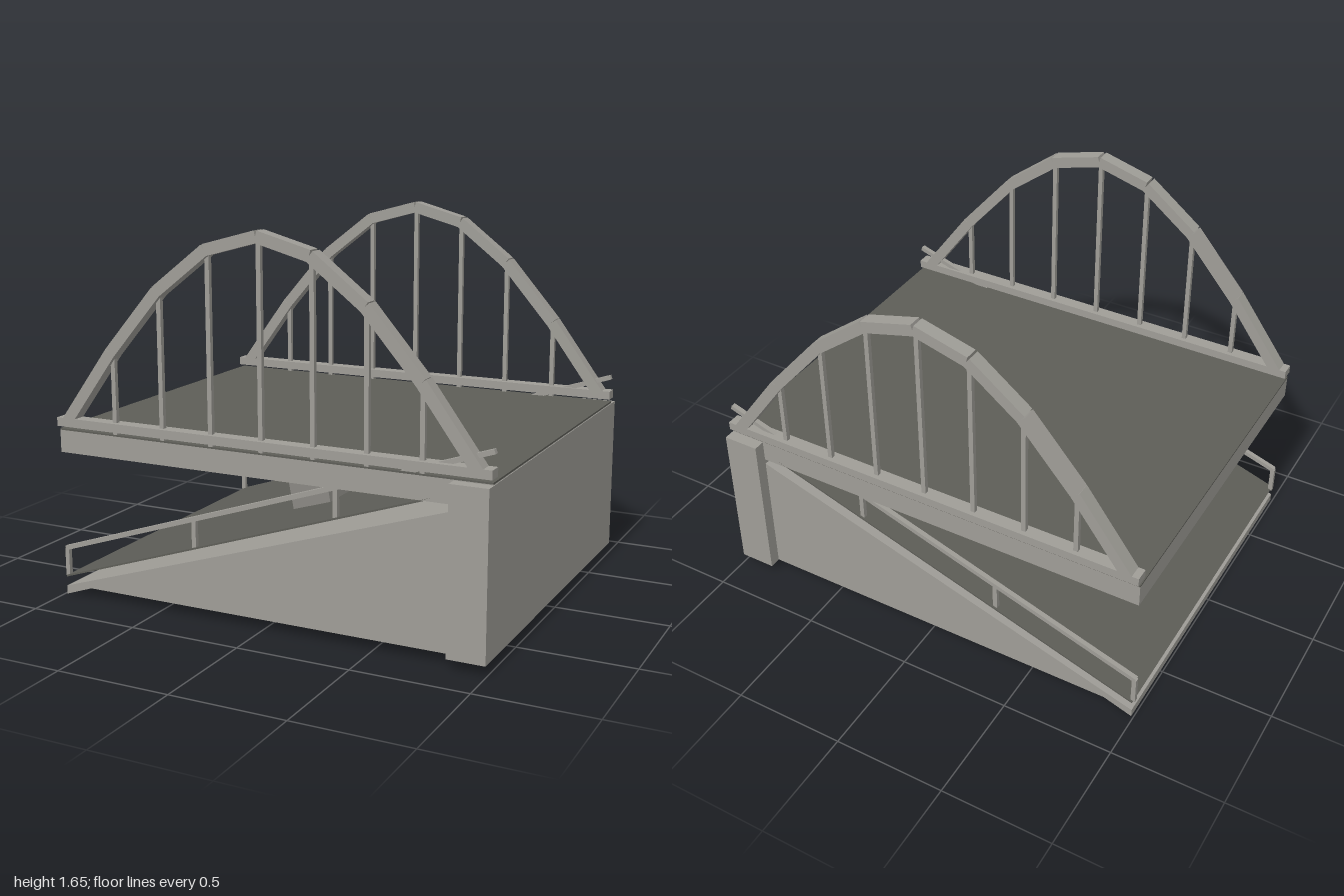
import * as THREE from 'three';

export function createModel() {
  const model = new THREE.Group();
  model.name = 'archBridge';
  const concrete = new THREE.MeshStandardMaterial({ color: 0x9f9d97 });
  concrete.name = 'concrete grey';
  const asphalt = new THREE.MeshStandardMaterial({ color: 0x5d5d57 });
  asphalt.name = 'asphalt dark grey';

  function add(name, geometry, material, parent = model) {
    const mesh = new THREE.Mesh(geometry, material);
    mesh.name = name;
    parent.add(mesh);
    return mesh;
  }
  // Box given by its limits on each axis
  function block(name, x0, x1, y0, y1, z0, z1, material, parent) {
    const mesh = add(name, new THREE.BoxGeometry(x1 - x0, y1 - y0, z1 - z0), material, parent);
    mesh.position.set((x0 + x1) / 2, (y0 + y1) / 2, (z0 + z1) / 2);
    return mesh;
  }
  // Box running between two points in a plane of constant z
  function beam(name, a, b, thickness, depth, z, material, parent) {
    const dx = b[0] - a[0], dy = b[1] - a[1];
    const mesh = add(name, new THREE.BoxGeometry(Math.hypot(dx, dy), thickness, depth), material, parent);
    mesh.position.set((a[0] + b[0]) / 2, (a[1] + b[1]) / 2, z);
    mesh.rotation.z = Math.atan2(dy, dx);
    return mesh;
  }

  const halfWidth = 0.788;
  const sideZ = 0.777;

  // Upper deck with its road surface, and the end abutment
  block('deck', -0.99, 0.995, 0.648, 0.747, -halfWidth, halfWidth, concrete);
  block('deckRoad', -0.99, 0.995, 0.747, 0.754, -halfWidth, halfWidth, asphalt);
  block('abutment', 0.835, 0.998, 0.045, 0.744, -0.84, 0.84, concrete);

  // Ramp body: solid wedge whose toe dips to the ground
  const profile = new THREE.Shape([
    [-0.99, 0], [-0.86, 0.045], [0.84, 0.045], [0.84, 0.625], [-0.99, 0.038],
  ].map(([x, y]) => new THREE.Vector2(x, y)));
  const wedge = new THREE.ExtrudeGeometry(profile, { depth: 2 * halfWidth, bevelEnabled: false });
  wedge.translate(0, 0, -halfWidth);
  add('rampBody', wedge, concrete);

  // Thin road carried just above the ramp body
  const rampY = (x) => 0.413 + x / 3;
  beam('rampRoad', [-0.99, rampY(-0.99)], [0.99, rampY(0.99)], 0.007, 2 * halfWidth, 0, asphalt);

  // Central pier, narrowing towards its foot
  const pier = new THREE.BoxGeometry(0.19, 0.45, 0.9);
  const p = pier.attributes.position;
  for (let i = 0; i < p.count; i++) if (p.getY(i) < 0) p.setZ(i, p.getZ(i) * 0.68);
  pier.computeVertexNormals();
  add('pier', pier, concrete).position.set(0, 0.525, 0);

  // Sine-shaped arch joints
  const joints = [];
  for (let i = 0; i <= 8; i++) {
    joints.push([-0.94 + 0.235 * i, 0.79 + 0.835 * Math.sin(Math.PI * i / 8)]);
  }

  for (const side of [1, -1]) {
    const z = side * sideZ;
    const arch = new THREE.Group();
    arch.name = side > 0 ? 'frontArch' : 'backArch';
    model.add(arch);
    block('bottomChord', -0.99, 0.997, 0.768, 0.806, z - 0.03, z + 0.03, concrete, arch);
    for (let i = 0; i < 8; i++) {
      beam('archSegment', joints[i], joints[i + 1], 0.05, 0.06, z, concrete, arch);
    }
    // Hangers reach through the chord to the deck
    for (let i = 1; i < 8; i++) {
      const [x, y] = joints[i];
      block('hanger', x - 0.01, x + 0.01, 0.75, y, z - 0.01, z + 0.01, concrete, arch);
    }

    // Ramp handrail on posts
    const railing = new THREE.Group();
    railing.name = side > 0 ? 'frontRailing' : 'backRailing';
    model.add(railing);
    const railZ = side * 0.77;
    beam('handrail', [-0.993, rampY(-0.993) + 0.127], [0.995, rampY(0.995) + 0.127],
      0.02, 0.022, railZ, concrete, railing);
    for (const x of [-0.988, -0.33, 0.33]) {
      block('railPost', x - 0.01, x + 0.01, rampY(x), rampY(x) + 0.125,
        railZ - 0.01, railZ + 0.01, concrete, railing);
    }
  }
  return model;
}
